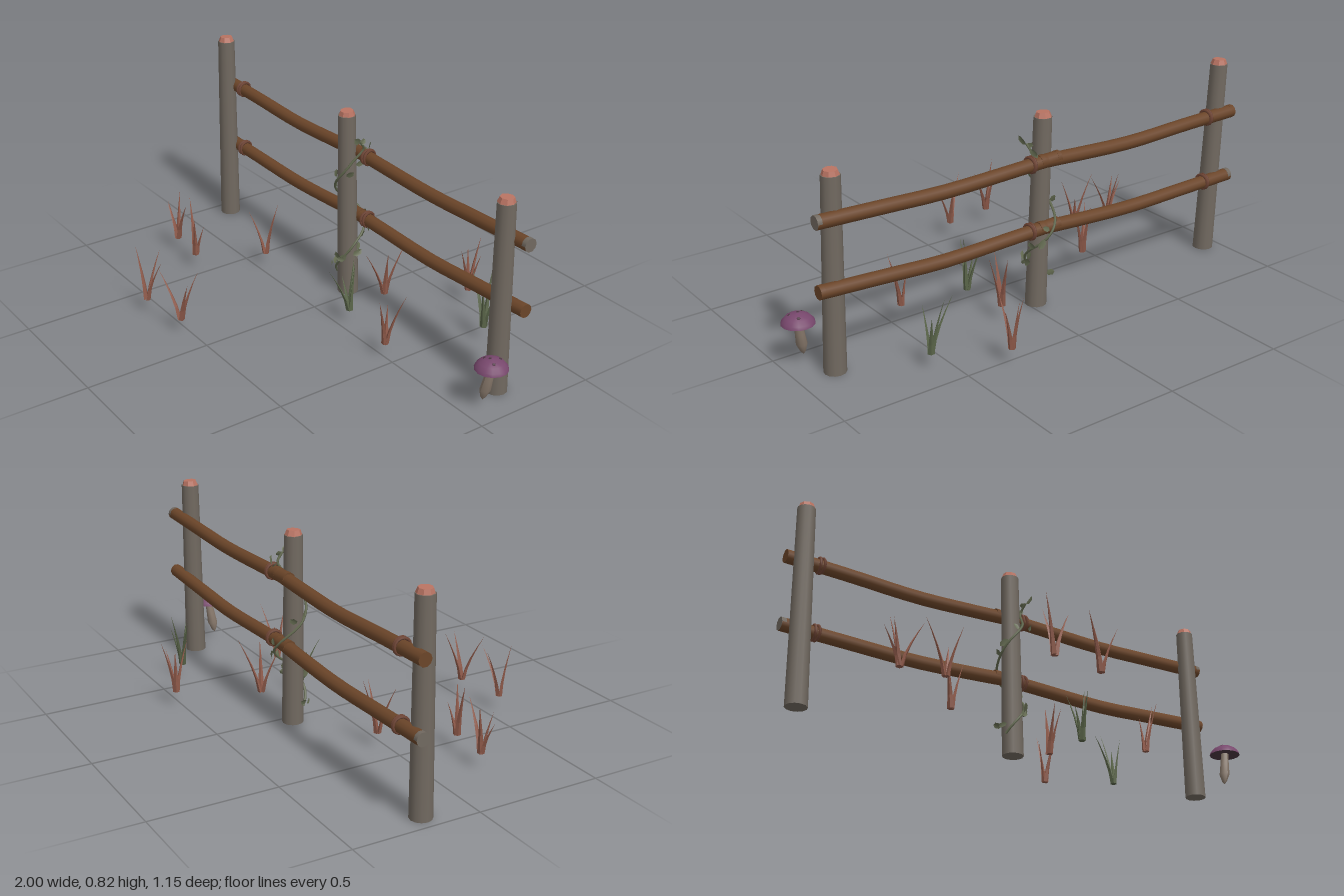
import * as THREE from 'three';

const mat = (name, color) => {
  const m = new THREE.MeshStandardMaterial({ color });
  m.name = name;
  return m;
};

export function createModel() {
  const group = new THREE.Group();
  const postWood = mat('weathered wood', 0x716960);
  const cutWood = mat('cut wood', 0xb87362);
  const railWood = mat('rail wood', 0x6b4529);
  const rope = mat('rope', 0x6e4434);
  const dryGrass = mat('dry grass', 0x8f5a4a);
  const greenGrass = mat('green grass', 0x5b664a);
  const leafGreen = mat('leaf', 0x636a50);
  leafGreen.side = THREE.DoubleSide;
  const capPurple = mat('mushroom cap', 0x77476c);
  const stemTan = mat('mushroom stem', 0x86776a);
  const gillDark = mat('mushroom dark', 0x4b3540);

  const add = (name, geo, material, parent = group) => {
    const mesh = new THREE.Mesh(geo, material);
    mesh.name = name;
    parent.add(mesh);
    return mesh;
  };
  const faceted = (geo) => {
    const g = geo.toNonIndexed();
    g.computeVertexNormals();
    return g;
  };
  // Moves every vertex by a rule
  const bend = (geo, rule) => {
    const p = geo.attributes.position, v = new THREE.Vector3();
    for (let i = 0; i < p.count; i++) {
      rule(v.fromBufferAttribute(p, i));
      p.setXYZ(i, v.x, v.y, v.z);
    }
    geo.computeVertexNormals();
    return geo;
  };

  // Leaning posts with a rough sawn top: base x, top x, base z, top z, height
  const posts = [
    [-0.93, -0.947, -0.193, -0.207, 0.822],
    [-0.036, -0.059, -0.193, -0.195, 0.778],
    [0.856, 0.841, -0.193, -0.2, 0.762],
  ];
  posts.forEach(([x0, x1, z0, z1, h], i) => {
    const post = new THREE.Group();
    post.name = 'post';
    group.add(post);
    const body = h - 0.02;
    const geo = new THREE.CylinderGeometry(0.035, 0.042, body, 12);
    geo.translate(0, body / 2, 0);
    const p = geo.attributes.position;
    for (let k = 0; k < p.count; k++) {
      const t = p.getY(k) / body;
      p.setX(k, p.getX(k) + x0 + (x1 - x0) * t);
      p.setZ(k, p.getZ(k) + z0 + (z1 - z0) * t);
    }
    add('postBody', geo, postWood, post);
    const top = new THREE.CylinderGeometry(0.026, 0.034, 0.022, 8);
    top.rotateZ(0.06).rotateY(i * 2);
    add('postTop', faceted(top), cutWood, post).position.set(x1, body + 0.008, z1);
  });

  // Sagging rails: path points and the colour of the outer and inner ends
  const rails = [
    [[-1, 0.6], [-0.75, 0.594], [-0.45, 0.583], [-0.2, 0.592], [-0.01, 0.602], railWood, railWood],
    [[-0.1, 0.603], [0.12, 0.594], [0.42, 0.586], [0.65, 0.593], [0.93, 0.602], railWood, postWood],
    [[-1, 0.324], [-0.75, 0.318], [-0.45, 0.312], [-0.2, 0.323], [-0.01, 0.335], postWood, railWood],
    [[-0.1, 0.335], [0.12, 0.328], [0.42, 0.32], [0.65, 0.331], [0.93, 0.345], railWood, railWood],
  ];
  const railZ = -0.238;
  rails.forEach((r) => {
    const pts = r.slice(0, 5).map(([x, y]) => new THREE.Vector3(x, y, railZ));
    const rail = new THREE.Group();
    rail.name = 'rail';
    group.add(rail);
    const curve = new THREE.CatmullRomCurve3(pts);
    add('railBody', new THREE.TubeGeometry(curve, 12, 0.0265, 10), railWood, rail);
    [[pts[0], -1, r[5]], [pts[4], 1, r[6]]].forEach(([p, side, m]) => {
      const end = new THREE.CylinderGeometry(0.0265, 0.0265, 0.018, 10).rotateZ(Math.PI / 2);
      add('railEnd', end, m, rail).position.set(p.x - side * 0.008, p.y, p.z);
    });
  });

  // Rope loops around the rails
  [[-0.868, 0.6], [0.022, 0.6], [-0.868, 0.323], [0.022, 0.333]].forEach(([x, y]) => {
    [0, 0.011].forEach((d, i) => {
      const loop = new THREE.TorusGeometry(0.029, 0.006, 5, 14).rotateY(Math.PI / 2 + 0.2 * (i - 0.5));
      add('ropeLoop', loop, rope).position.set(x + d, y, railZ);
    });
  });

  // Vine spiralling up the middle post
  const vine = new THREE.Group();
  vine.name = 'vine';
  group.add(vine);
  const vineAt = (a) => {
    const y = 0.14 + (0.36 * a) / (2 * Math.PI);
    const c = Math.cos(a);
    return new THREE.Vector3(-0.036 - 0.03 * y + 0.048 * Math.sin(a), y, -0.193 + c * (c > 0 ? 0.047 : 0.078));
  };
  const vinePts = [];
  for (let i = 0; i <= 22; i++) vinePts.push(vineAt(-1.1 + i * 0.4));
  vinePts.push(new THREE.Vector3(0.012, 0.635, -0.225), new THREE.Vector3(0.02, 0.67, -0.2));
  const vineCurve = new THREE.CatmullRomCurve3(vinePts);
  add('vineStem', new THREE.TubeGeometry(vineCurve, 80, 0.005, 5), leafGreen, vine);

  // Folded leaves set along the vine
  const leafGeo = bend(new THREE.CircleGeometry(1, 6), (v) => {
    v.set(v.y * 0.014, v.x * 0.022 + 0.024, Math.abs(v.y) * 0.005);
  });
  const leafSpots = [
    [-0.09, 0.11, -0.15, 1.9], [-0.1, 0.1, -0.17, 1.2], [-0.03, 0.15, -0.14, -0.8], [0.0, 0.165, -0.15, 1.4],
    [-0.02, 0.165, -0.14, 0.3], [0.008, 0.18, -0.18, -1.2], [0.012, 0.2, -0.2, -0.4], [0.0, 0.25, -0.23, 0.5],
    [-0.02, 0.3, -0.265, 2.6], [-0.04, 0.33, -0.27, 1.0], [-0.09, 0.42, -0.2, 0.9], [-0.08, 0.47, -0.16, 2.2],
    [-0.05, 0.51, -0.14, 0.4], [0.0, 0.53, -0.15, -0.9], [0.005, 0.57, -0.19, -1.3], [0.02, 0.61, -0.23, -0.7],
    [0.01, 0.63, -0.25, 0.6], [0.02, 0.665, -0.2, 0.9], [0.02, 0.66, -0.2, -1.2],
  ];
  leafSpots.forEach(([x, y, z, roll], i) => {
    const leaf = add('leaf', leafGeo, leafGreen, vine);
    leaf.position.set(x, y, z);
    leaf.rotation.set(0.4 * Math.sin(i * 2), Math.atan2(x + 0.045, z + 0.193), roll, 'YXZ');
    leaf.scale.setScalar(0.75 + 0.12 * (i % 3));
  });

  // Grass tufts: root x, z, then the tip of each blade as offset x, z and height
  const tufts = [
    [-0.73, 0.195, dryGrass, [-0.07, 0.005, 0.14], [-0.03, -0.035, 0.2], [0.09, 0.005, 0.19], [-0.04, 0.02, 0.17]],
    [-0.56, 0.21, dryGrass, [-0.075, -0.025, 0.225], [0.05, 0.03, 0.19], [0.025, -0.03, 0.13]],
    [-0.4, -0.035, dryGrass, [-0.05, 0.05, 0.19], [0.055, -0.01, 0.2], [0.01, -0.06, 0.22]],
    [-0.345, 0.56, dryGrass, [0.08, -0.03, 0.19], [-0.005, -0.07, 0.2], [-0.045, 0.015, 0.22]],
    [-0.135, 0.53, dryGrass, [-0.08, 0.045, 0.2], [0.07, 0.005, 0.18], [0.025, -0.07, 0.2]],
    [0.18, -0.04, greenGrass, [-0.04, -0.05, 0.2], [0.02, -0.01, 0.22], [-0.025, 0.08, 0.18], [-0.04, 0.01, 0.14]],
    [0.155, -0.23, dryGrass, [0.035, -0.085, 0.23], [-0.025, 0.08, 0.19], [0.045, 0.02, 0.2]],
    [0.455, 0, dryGrass, [0.07, -0.04, 0.22], [-0.015, -0.02, 0.15], [0.025, 0.05, 0.2]],
    [0.325, -0.52, dryGrass, [-0.005, -0.06, 0.22], [0.045, -0.02, 0.17], [0.015, 0.06, 0.2], [-0.025, -0.01, 0.18]],
    [0.575, -0.38, greenGrass, [-0.09, -0.01, 0.21], [0.02, -0.04, 0.16], [0.015, 0.03, 0.19], [-0.025, -0.055, 0.23]],
  ];
  tufts.forEach(([x, z, material, ...blades]) => {
    const tuft = new THREE.Group();
    tuft.name = 'grassTuft';
    tuft.position.set(x, 0.06, z);
    group.add(tuft);
    blades.forEach(([dx, dz, h]) => {
      const len = Math.hypot(dx, dz), ux = dx / len, uz = dz / len;
      const blade = bend(new THREE.ConeGeometry(1, 1, 4, 4), (v) => {
        const t = v.y + 0.5;
        const out = v.z * 0.008 + 0.006 + (len - 0.006) * Math.pow(t, 1.4);
        const across = v.x * 0.013;
        v.set(ux * out + uz * across, t * h, uz * out - ux * across);
      });
      add('grassBlade', faceted(blade), material, tuft);
    });
  });

  // Mushroom with a tapering stem and a domed cap
  const mushroom = new THREE.Group();
  mushroom.name = 'mushroom';
  mushroom.position.set(0.936, 0.17, -0.088);
  group.add(mushroom);
  const profile = (pts) => pts.map(([r, y]) => new THREE.Vector2(r, y));
  const stem = new THREE.LatheGeometry(profile([[0, -0.135], [0.01, -0.122], [0.021, -0.09], [0.018, -0.045], [0.015, 0.012]]), 10);
  add('mushroomStem', bend(stem, (v) => { v.x += v.y * 0.16; v.z -= v.y * 0.1; }), stemTan, mushroom);
  const dome = [[0.062, 0], [0.058, 0.012], [0.045, 0.026], [0.025, 0.037], [0, 0.041]];
  add('mushroomCap', new THREE.LatheGeometry(profile(dome), 14), capPurple, mushroom);
  add('mushroomGills', new THREE.LatheGeometry(profile([[0, 0.006], [0.05, 0.002], [0.062, 0]]), 14), gillDark, mushroom);
  [[-0.025, 0.012, 0.0348], [0.012, -0.03, 0.0336], [0.026, 0.014, 0.0338], [-0.004, 0.005, 0.0395]].forEach(([x, z, y]) => {
    const spot = add('mushroomSpot', new THREE.CylinderGeometry(0.005, 0.007, 0.003, 6), gillDark, mushroom);
    spot.position.set(x, y, z);
    spot.rotation.set(z * 18, 0, -x * 18);
  });

  return group;
}
